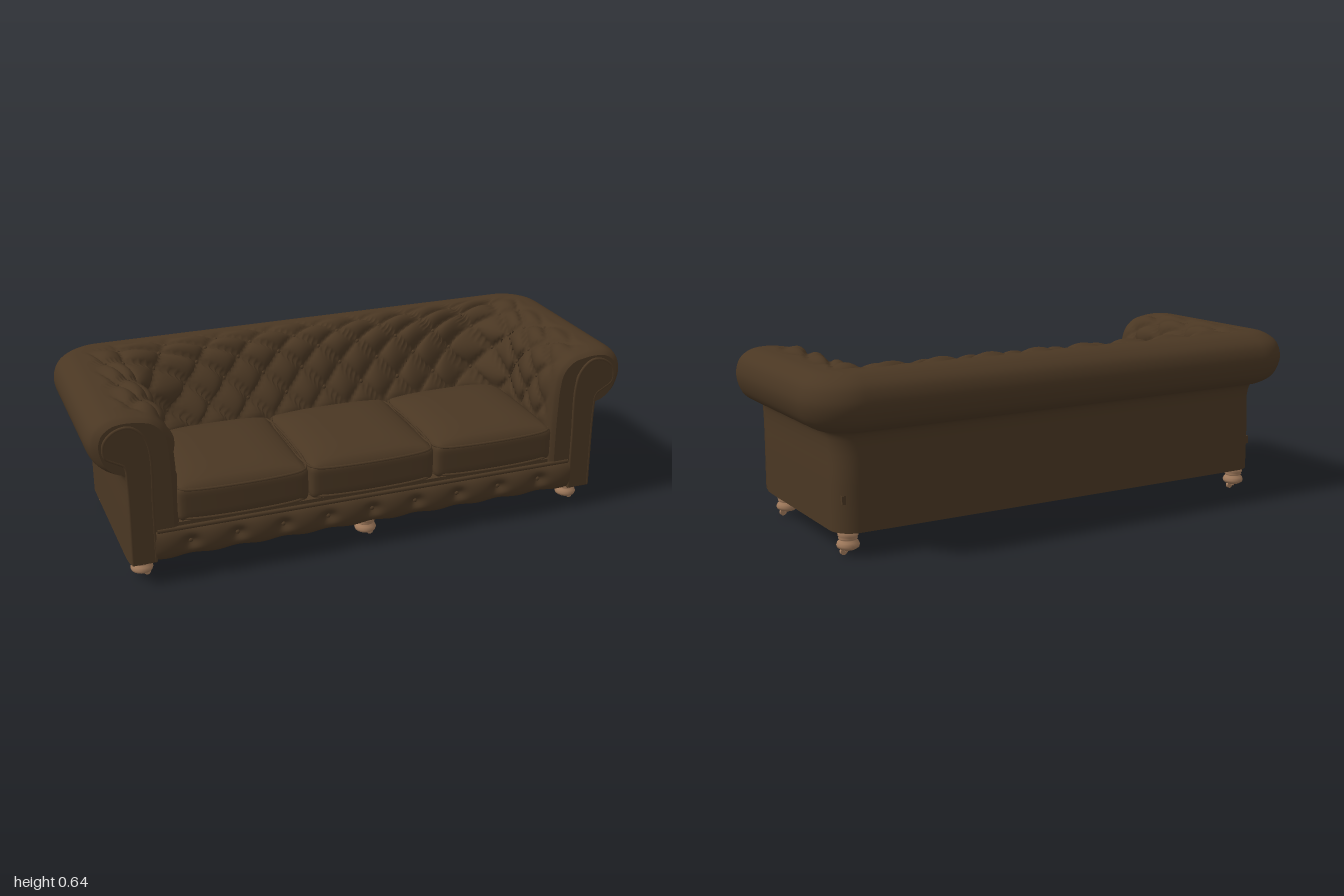
import * as THREE from 'three';
import { mergeVertices } from 'three/addons/utils/BufferGeometryUtils.js';

const { clamp, lerp, smoothstep } = THREE.MathUtils;

// Section through arm and back: height, outward offset on the arms, outward offset on the back
const SECTION = new THREE.CatmullRomCurve3([
  [0.085, 0, 0], [0.25, 0, 0], [0.4, 0, 0], [0.428, 0.012, 0.012], [0.436, 0.04, 0.04],
  [0.47, 0.088, 0.088], [0.535, 0.11, 0.11], [0.59, 0.097, 0.095], [0.625, 0.055, 0.05],
  [0.635, 0, 0], [0.63, -0.06, -0.05], [0.615, -0.115, -0.09], [0.57, -0.16, -0.125],
  [0.5, -0.178, -0.155], [0.42, -0.183, -0.19], [0.34, -0.185, -0.225], [0.2, -0.185, -0.235],
].map(p => new THREE.Vector3(...p)));
const STEPS = 16;
const BACK = 0.63, CORNER = 0.2, ARM = 0.43, LENGTH = BACK + CORNER + ARM;
const TUFT = 0.168;

// Point on the upholstery: s runs round the U from arm to arm, i up and over the section
function shellPoint(s, i, closed = false) {
  const p = SECTION.getPoint(i / STEPS), t = SECTION.getTangent(i / STEPS);
  let y = p.x, dArm = p.y, dBack = p.z;
  const a = Math.abs(s), sign = Math.sign(s) || 1;

  // Diamond tufting on the inner faces
  const row = i - 10;
  const amp = smoothstep(i, 9, 10.2) * (1 - smoothstep(i, 14.5, 15.2)) * (1 - smoothstep(a, LENGTH - 0.1, LENGTH - 0.03));
  const fold = Math.abs(Math.sin(Math.PI * (s / TUFT + row / 2)) * Math.sin(Math.PI * (s / TUFT - row / 2)));
  const puff = amp * (0.03 * Math.sqrt(fold) - 0.014);
  const n = Math.hypot(t.x, t.y) || 1;
  y -= puff * t.y / n;
  dArm += puff * t.x / n;
  dBack += puff * t.x / n;

  // Rounded arm fronts, closed by a flat cap
  const q = clamp((a - LENGTH + 0.06) / 0.06, 0, 1);
  const k = closed ? 1 : 0.2 * (1 - Math.sqrt(1 - q * q));
  dArm = lerp(dArm, -0.06, k);
  y = lerp(y, Math.min(y, 0.53), k);

  const radius = 0.08 + Math.max(0, dArm) * 0.8 + Math.max(0, -dArm) * 0.4;
  const w = 0.89 + dArm, z = -0.3 - dBack;
  if (a <= BACK) return new THREE.Vector3(sign * (w - radius) * a / BACK, y, z);
  if (a <= BACK + CORNER) {
    const angle = (a - BACK) / CORNER * Math.PI / 2;
    return new THREE.Vector3(sign * (w - radius + radius * Math.sin(angle)), y, z + radius - radius * Math.cos(angle));
  }
  return new THREE.Vector3(sign * w, y, lerp(z + radius, 0.39, (a - BACK - CORNER) / ARM));
}

// Smooth surface from a grid of points
function gridGeometry(cols, rows, point) {
  const pos = [], index = [];
  for (let c = 0; c <= cols; c++) {
    for (let r = 0; r <= rows; r++) {
      pos.push(...point(c, r).toArray());
      if (c < cols && r < rows) {
        const a = c * (rows + 1) + r, b = a + rows + 1;
        index.push(a, a + 1, b, b, a + 1, b + 1);
      }
    }
  }
  const g = new THREE.BufferGeometry();
  g.setAttribute('position', new THREE.Float32BufferAttribute(pos, 3));
  g.setIndex(index);
  g.computeVertexNormals();
  return g;
}

// Soft box with rounded edges and a crowned top
function cushionGeometry(w, h, d, r, crown) {
  let g = new THREE.BoxGeometry(w, h, d, 32, 10, 32);
  g.deleteAttribute('uv');
  g.deleteAttribute('normal');
  g = mergeVertices(g);
  const pos = g.attributes.position, p = new THREE.Vector3(), core = new THREE.Vector3();
  const inner = new THREE.Vector3(w / 2 - r, h / 2 - r, d / 2 - r), outer = inner.clone().negate();
  for (let i = 0; i < pos.count; i++) {
    p.fromBufferAttribute(pos, i);
    const u = 2 * p.x / w, v = 2 * p.z / d, top = p.y / h + 0.5;
    core.copy(p).clamp(outer, inner);
    p.sub(core);
    if (p.lengthSq() > 0) p.setLength(r);
    p.add(core);
    p.y += crown * top * (1 - u ** 4) * (1 - v ** 4);
    p.z += 0.006 * v * (1 - u * u);
    pos.setXYZ(i, p.x, p.y, p.z);
  }
  g.computeVertexNormals();
  return g;
}

export function createModel() {
  const sofa = new THREE.Group();
  sofa.name = 'sofa';
  const leather = new THREE.MeshStandardMaterial({ color: 0x4a3723, side: THREE.DoubleSide });
  leather.name = 'brown leather';
  const wood = new THREE.MeshStandardMaterial({ color: 0xa07a5c });
  wood.name = 'turned wood';
  const add = (name, geometry, material = leather, parent = sofa) => {
    const mesh = new THREE.Mesh(geometry, material);
    mesh.name = name;
    parent.add(mesh);
    return mesh;
  };
  const piping = (name, points, closed, radius = 0.006) => add(name, new THREE.TubeGeometry(
    new THREE.CatmullRomCurve3(points, closed, 'centripetal'), 90, radius, 6, closed));
  const buttonGeometry = new THREE.SphereGeometry(0.009, 8, 6);
  const button = p => add('button', buttonGeometry).position.copy(p);

  // Arms and back in one rolled, tufted sweep; two extra columns at each end make the caps
  const cols = 300;
  add('armsAndBack', gridGeometry(cols + 4, STEPS * 5, (c, r) => {
    const s = lerp(-LENGTH, LENGTH, clamp((c - 2) / cols, 0, 1));
    return shellPoint(s, r / 5, c === 0 || c === cols + 4);
  }));
  for (let row = 0; row < 5; row++) {
    for (let k = -7; k <= 7; k++) {
      const s = (k + (row % 2) / 2) * TUFT;
      if (Math.abs(s) < LENGTH - 0.1) button(shellPoint(s, 10 + row));
    }
  }

  // Scroll panels on the arm fronts
  const scroll = [[0.8, 0.09], [0.8, 0.3], [0.8, 0.5], [0.817, 0.56], [0.86, 0.598], [0.91, 0.592],
    [0.948, 0.555], [0.948, 0.505], [0.915, 0.482], [0.885, 0.462], [0.878, 0.4], [0.878, 0.09]];
  for (const side of [1, -1]) {
    const pts = scroll.map(([x, y]) => new THREE.Vector2(side * x, y));
    const shape = new THREE.Shape();
    shape.moveTo(pts[0].x, pts[0].y);
    shape.splineThru(pts.slice(1));
    add('armFrontPanel', new THREE.ExtrudeGeometry(shape, {
      depth: 0.012, bevelSize: 0.004, bevelThickness: 0.004, bevelSegments: 2, curveSegments: 40,
    })).position.z = 0.38;
    piping('armFrontPiping', pts.map(p => new THREE.Vector3(p.x, p.y, 0.392)), false);
  }

  // Tufted front rail with its row of buttons
  const railPoint = (x, t) => {
    const angle = t * Math.PI;
    const dx = x - TUFT * Math.round(x / TUFT), y = 0.141 - 0.056 * Math.cos(angle);
    const dimple = 0.022 * Math.exp(-((dx / 0.026) ** 2) - ((y - 0.14) / 0.022) ** 2);
    const wave = 0.004 * Math.cos(2 * Math.PI * x / TUFT);
    return new THREE.Vector3(x, y + wave * Math.cos(angle) * 0.8, 0.355 + 0.046 * Math.sin(angle) ** 0.6 - dimple - wave * Math.sin(angle));
  };
  add('frontRail', gridGeometry(160, 20, (c, r) => railPoint(lerp(0.8, -0.8, c / 160), r / 20)));
  for (let k = -4; k <= 4; k++) button(railPoint(k * TUFT, 0.5));
  piping('railPiping', [-0.79, -0.4, 0, 0.4, 0.79].map(x => new THREE.Vector3(x, 0.2, 0.388)), false, 0.008);

  // Seat platform and three piped cushions
  add('seatPlatform', new THREE.BoxGeometry(1.74, 0.03, 0.66)).position.set(0, 0.2, 0.045);
  const w = 0.472, depth = 0.49;
  const cushion = cushionGeometry(w, 0.128, depth, 0.022, 0.036);
  for (const x of [-0.478, 0, 0.478]) {
    add('seatCushion', cushion).position.set(x, 0.284, 0.149);
    for (const y of [0.232, 0.341]) {
      const corners = [];
      for (const [sx, sz] of [[1, 1], [-1, 1], [-1, -1], [1, -1]]) {
        const ends = [[w / 2 - 0.004, depth / 2 - 0.03], [w / 2 - 0.03, depth / 2 - 0.002]];
        if (sx * sz < 0) ends.reverse();
        for (const [ex, ez] of ends) corners.push(new THREE.Vector3(x + sx * ex, y, 0.149 + sz * ez));
      }
      piping('cushionPiping', corners, true, 0.005);
    }
  }

  // Turned feet on small casters
  const foot = new THREE.LatheGeometry([
    [0, 0.014], [0.014, 0.016], [0.026, 0.019], [0.037, 0.026], [0.04, 0.035], [0.036, 0.045], [0.03, 0.052],
    [0.03, 0.055], [0.034, 0.058], [0.03, 0.062], [0.035, 0.066], [0.036, 0.088], [0, 0.088],
  ].map(p => new THREE.Vector2(...p)), 24);
  const wheel = new THREE.CylinderGeometry(0.012, 0.012, 0.011, 14).rotateX(Math.PI / 2);
  const axle = new THREE.CylinderGeometry(0.004, 0.004, 0.036, 8).rotateX(Math.PI / 2);
  for (const [x, z] of [[-0.835, 0.312], [0, 0.312], [0.835, 0.312], [-0.835, -0.242], [0.835, -0.242]]) {
    const leg = new THREE.Group();
    leg.name = 'foot';
    leg.position.set(x, 0, z);
    add('turnedFoot', foot, wood, leg);
    add('casterWheel', wheel, wood, leg).position.set(0.018, 0.012, 0);
    add('casterAxle', axle, wood, leg).position.set(0.012, 0.016, 0);
    sofa.add(leg);
  }
  return sofa;
}
